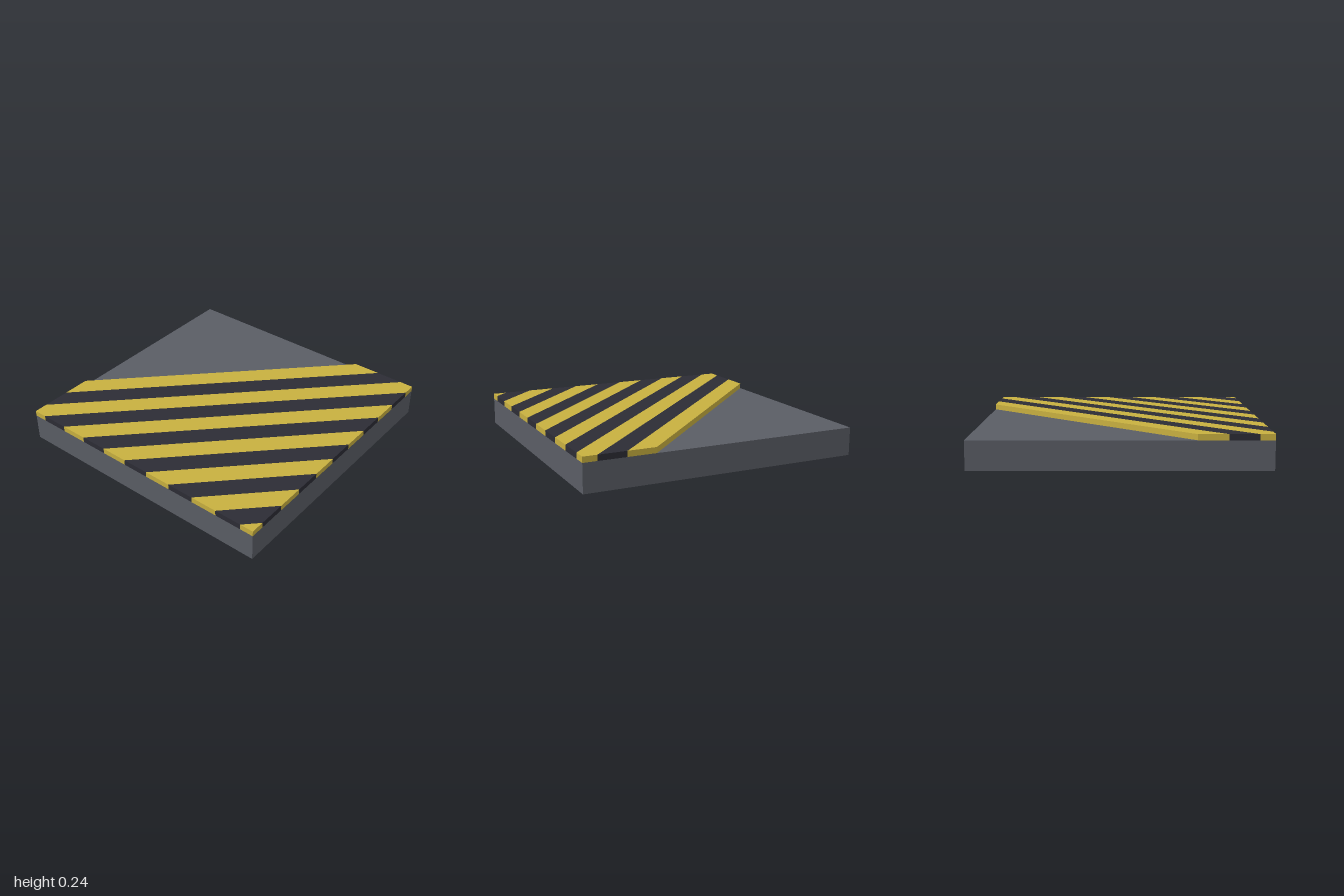
import * as THREE from 'three';

const BASE_HEIGHT = 0.2, PLATE_HEIGHT = 0.04, STRIPE = 0.2, FIRST = -0.5;

// Ends of the diagonal x + z = c inside the 2 x 2 square, as [x, z]
const leftEnd = (c) => (c <= 0 ? [-1, c + 1] : [c - 1, 1]);
const rightEnd = (c) => (c <= 0 ? [c + 1, -1] : [1, c - 1]);

// Diagonal band between x + z = a and x + z = b, clipped to the square
function stripeGeometry(a, b) {
  const points = [leftEnd(a)];
  if (a < 0 && b > 0) points.push([-1, 1]);
  if (b >= 2) points.push([1, 1]);
  else points.push(leftEnd(b), rightEnd(b));
  if (a < 0 && b > 0) points.push([1, -1]);
  points.push(rightEnd(a));
  const shape = new THREE.Shape(points.map(([x, z]) => new THREE.Vector2(x, -z)));
  const geometry = new THREE.ExtrudeGeometry(shape, { depth: PLATE_HEIGHT, bevelEnabled: false });
  return geometry.rotateX(-Math.PI / 2).translate(0, BASE_HEIGHT, 0);
}

export function createModel() {
  const grey = new THREE.MeshStandardMaterial({ name: 'slabGrey', color: 0x5a5d65 });
  const yellow = new THREE.MeshStandardMaterial({ name: 'warningYellow', color: 0xc8b040 });
  const dark = new THREE.MeshStandardMaterial({ name: 'warningDark', color: 0x2c2c35 });

  const model = new THREE.Group();
  model.name = 'hazardFloorTile';

  // Square slab
  const slab = new THREE.Mesh(new THREE.BoxGeometry(2, BASE_HEIGHT, 2), grey);
  slab.name = 'slab';
  slab.position.y = BASE_HEIGHT / 2;
  model.add(slab);

  // Raised plate of alternating diagonal stripes
  const plate = new THREE.Group();
  plate.name = 'stripedPlate';
  for (let i = 0; i < 13; i++) {
    const a = FIRST + i * STRIPE;
    const stripe = new THREE.Mesh(stripeGeometry(a, a + STRIPE), i % 2 ? dark : yellow);
    stripe.name = i % 2 ? 'darkStripe' : 'yellowStripe';
    plate.add(stripe);
  }
  model.add(plate);
  return model;
}
